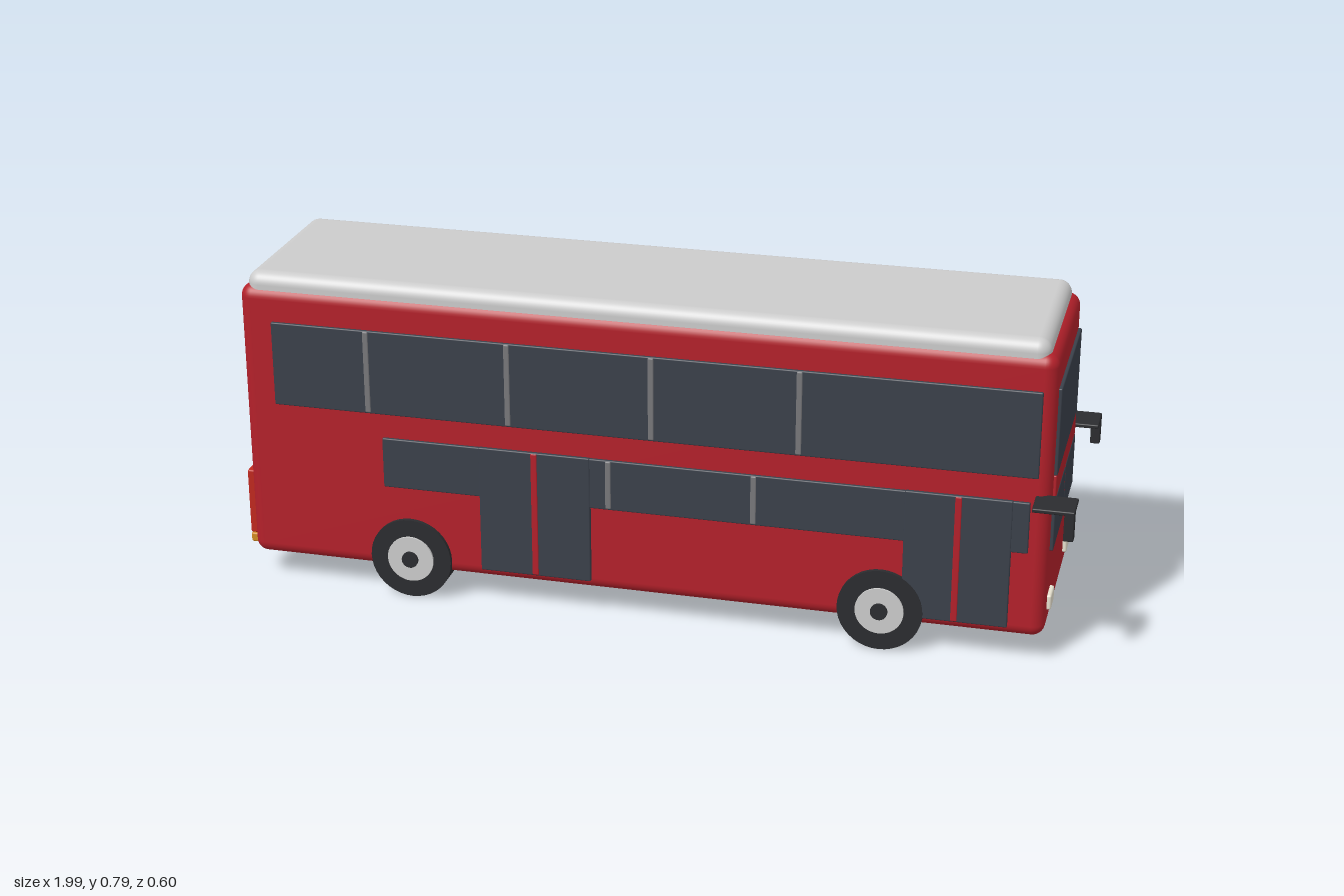
import * as THREE from 'three';
import { RoundedBoxGeometry } from 'three/addons/geometries/RoundedBoxGeometry.js';

const paint = (color) => new THREE.MeshStandardMaterial({ color });

export function createModel() {
  const bus = new THREE.Group();
  bus.name = 'doubleDeckerBus';
  const red = paint(0xb3202a), glass = paint(0x3a404a), grey = paint(0xcccccc), trim = paint(0x77777a);
  const black = paint(0x2b2c2f), cream = paint(0xe8e2d0), amber = paint(0xd08a20), lampRed = paint(0xc0281e);

  // Box given by its limits on each axis, with softened edges
  function block(name, material, [x0, x1], [y0, y1], [z0, z1], radius = 0.003, segments = 2) {
    const geometry = new RoundedBoxGeometry(x1 - x0, y1 - y0, z1 - z0, segments, radius);
    const mesh = new THREE.Mesh(geometry, material);
    mesh.position.set((x0 + x1) / 2, (y0 + y1) / 2, (z0 + z1) / 2);
    mesh.name = name;
    bus.add(mesh);
    return mesh;
  }
  // Range between a and b on the given side of the centre line
  const sided = (s, a, b) => (s > 0 ? [a, b] : [-b, -a]);

  // Body and roof
  block('body', red, [-0.985, 0.935], [0.065, 0.755], [-0.227, 0.227], 0.03, 5);
  block('roof', grey, [-0.968, 0.915], [0.715, 0.787], [-0.219, 0.219], 0.03, 5);

  for (const s of [1, -1]) {
    // Side windows and their dividers
    block('upperSideWindow', glass, [-0.905, 0.905], [0.465, 0.672], sided(s, 0.215, 0.234));
    block('lowerSideWindow', glass, [-0.64, 0.89], [0.28, 0.405], sided(s, 0.215, 0.234));
    for (const x of [-0.671, -0.328, 0.015, 0.36])
      block('upperDivider', trim, [x - 0.007, x + 0.007], [0.468, 0.67], sided(s, 0.22, 0.236));
    for (const x of [-0.088, 0.257])
      block('lowerDivider', trim, [x - 0.007, x + 0.007], [0.283, 0.403], sided(s, 0.22, 0.236));

    // Windscreen panes and headlights
    block('lowerWindscreen', glass, [0.915, 0.943], [0.277, 0.405], sided(s, 0.007, 0.197));
    block('headlight', cream, [0.92, 0.945], [0.123, 0.16], sided(s, 0.128, 0.188), 0.005);

    // Mirrors: flat arm with a hanging plate
    block('mirrorArm', black, [0.9, 0.995], [0.412, 0.422], sided(s, 0.215, 0.298));
    block('mirror', black, [0.972, 0.995], [0.35, 0.422], sided(s, 0.273, 0.298));

    // Tail lamps
    block('tailLamp', lampRed, [-0.998, -0.96], [0.11, 0.275], sided(s, 0.173, 0.21), 0.004);
    block('rearIndicator', amber, [-0.998, -0.96], [0.085, 0.108], sided(s, 0.173, 0.21), 0.004);

    // Wheels
    for (const x of [-0.578, 0.558]) {
      const wheel = new THREE.Group();
      wheel.name = 'wheel';
      wheel.position.set(x, 0.1, 0);
      const disc = (name, material, radius, inner, outer) => {
        const geometry = new THREE.CylinderGeometry(radius, radius, outer - inner, 40);
        const mesh = new THREE.Mesh(geometry.rotateX(Math.PI / 2), material);
        mesh.position.z = s * (inner + outer) / 2;
        mesh.name = name;
        wheel.add(mesh);
      };
      disc('tyre', black, 0.1, 0.168, 0.237);
      disc('rim', grey, 0.057, 0.2, 0.242);
      disc('hub', black, 0.02, 0.2, 0.248);
      bus.add(wheel);
    }
  }

  // Doors, on one side only
  for (const [x0, x1] of [[-0.402, -0.132], [0.607, 0.852]]) {
    const mid = (x0 + x1) / 2;
    block('door', glass, [x0, x1], [0.09, 0.406], [0.21, 0.2355]);
    block('doorSeam', red, [mid - 0.008, mid + 0.008], [0.092, 0.404], [0.215, 0.237]);
  }

  // Front end
  block('upperWindscreen', glass, [0.915, 0.943], [0.462, 0.671], [-0.197, 0.197]);
  block('frontBand', red, [0.915, 0.942], [0.405, 0.462], [-0.197, 0.197]);
  block('windscreenPillar', red, [0.915, 0.942], [0.277, 0.405], [-0.007, 0.007]);

  // Rear end
  block('rearWindow', glass, [-0.994, -0.96], [0.545, 0.667], [-0.16, 0.16]);
  block('rearSlot', glass, [-0.994, -0.96], [0.428, 0.487], [-0.04, 0.16]);
  block('engineGrille', trim, [-0.99, -0.96], [0.115, 0.262], [0, 0.17]);
  block('grillePanel', glass, [-0.992, -0.96], [0.121, 0.256], [0.006, 0.164]);
  block('rearBumper', grey, [-0.995, -0.96], [0.083, 0.103], [-0.174, 0.174]);

  return bus;
}
